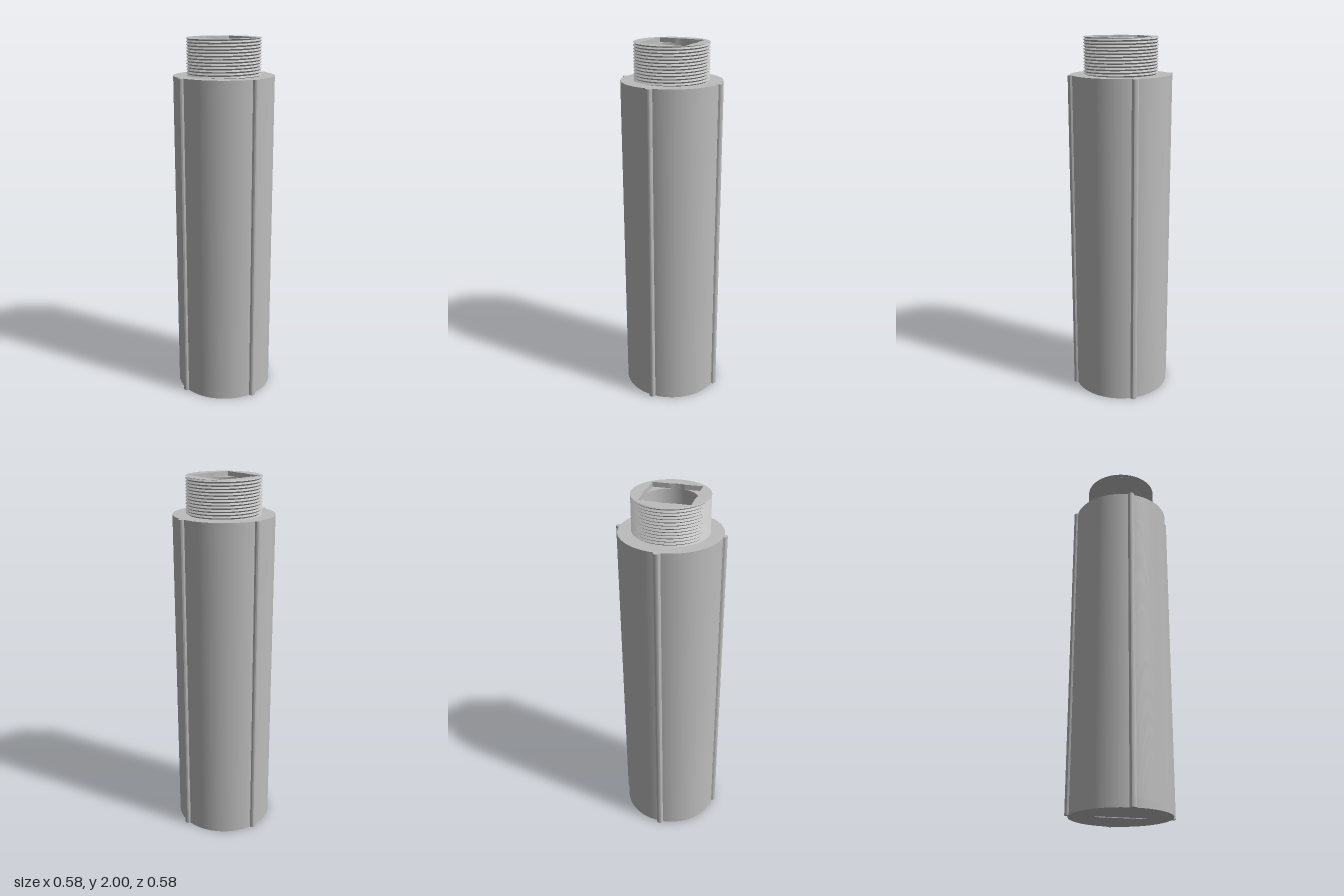
import * as THREE from 'three';
import { toCreasedNormals } from 'three/addons/utils/BufferGeometryUtils.js';

const BODY_R = 0.27, RIB_R = 0.018, BORE_R = 0.136, SHOULDER = 1.805, TOP = 2;
const NECK_R = 0.189, THREAD_R = 0.2, PITCH = 0.016;

// Circle outline with four rounded ribs
function ribbedOutline() {
  const s = new THREE.Shape(), a = Math.asin(RIB_R / BODY_R);
  for (let i = 0; i < 4; i++) {
    const t = i * Math.PI / 2;
    s.absarc(Math.cos(t) * 0.271, Math.sin(t) * 0.271, RIB_R, t - Math.PI / 2, t + Math.PI / 2, false);
    s.absarc(0, 0, BODY_R, t + a, t + Math.PI / 2 - a, false);
  }
  s.closePath();
  return s;
}

function circle(r, Type = THREE.Path) {
  const p = new Type();
  p.absarc(0, 0, r, 0, Math.PI * 2, false);
  return p;
}

// Square socket merged with the slightly wider round bore
function socketHole() {
  const pts = [];
  for (let i = 0; i < 96; i++) {
    const t = i / 96 * Math.PI * 2;
    const square = 0.131 / Math.max(Math.abs(Math.cos(t)), Math.abs(Math.sin(t)));
    const r = Math.max(BORE_R, square);
    pts.push(new THREE.Vector2(r * Math.cos(t), r * Math.sin(t)));
  }
  return new THREE.Path(pts);
}

// Narrow slot with ends following the bore
function slotHole() {
  const a = Math.asin(0.01 / BORE_R), p = new THREE.Path();
  p.absarc(0, 0, BORE_R, Math.PI / 2 - a, Math.PI / 2 + a, false);
  p.absarc(0, 0, BORE_R, -Math.PI / 2 - a, -Math.PI / 2 + a, false);
  p.closePath();
  return p;
}

// Upright slab between two heights
function layer(shape, hole, y0, y1) {
  shape.holes.push(hole);
  const g = new THREE.ExtrudeGeometry(shape, { depth: y1 - y0, bevelEnabled: false, curveSegments: 32 });
  g.rotateX(-Math.PI / 2);
  g.translate(0, y0, 0);
  return toCreasedNormals(g, 0.5);
}

// Helical V thread, trimmed flat at both ends
function threadGeometry() {
  const seg = 96, rows = 2 * Math.ceil((TOP - SHOULDER) / PITCH) + 2;
  const pos = [], idx = [];
  for (let k = -2; k <= rows; k++) {
    const r = k % 2 === 0 ? NECK_R : THREAD_R;
    for (let j = 0; j <= seg; j++) {
      const t = j / seg * Math.PI * 2;
      const y = SHOULDER + (k / 2 + j / seg) * PITCH;
      pos.push(r * Math.cos(t), THREE.MathUtils.clamp(y, SHOULDER, TOP), -r * Math.sin(t));
    }
  }
  for (let k = 0; k < rows + 2; k++) {
    for (let j = 0; j < seg; j++) {
      const a = k * (seg + 1) + j, c = a + seg + 1;
      idx.push(a, a + 1, c, a + 1, c + 1, c);
    }
  }
  const g = new THREE.BufferGeometry();
  g.setAttribute('position', new THREE.Float32BufferAttribute(pos, 3));
  g.setIndex(idx);
  return toCreasedNormals(g, 0.5);
}

export function createModel() {
  const group = new THREE.Group();
  group.name = 'threadedTube';
  const grey = new THREE.MeshStandardMaterial({ color: 0xbcbcbc });
  grey.name = 'plain grey';

  const add = (name, geometry) => {
    const mesh = new THREE.Mesh(geometry, grey);
    mesh.name = name;
    group.add(mesh);
  };

  add('slottedFloor', layer(ribbedOutline(), slotHole(), 0, 0.04));
  add('ribbedBody', layer(ribbedOutline(), circle(BORE_R), 0.04, SHOULDER));
  add('neck', layer(circle(NECK_R, THREE.Shape), circle(BORE_R), SHOULDER, 1.975));
  add('squareSocketRim', layer(circle(NECK_R + 0.001, THREE.Shape), socketHole(), 1.975, TOP));
  add('screwThread', threadGeometry());
  return group;
}
